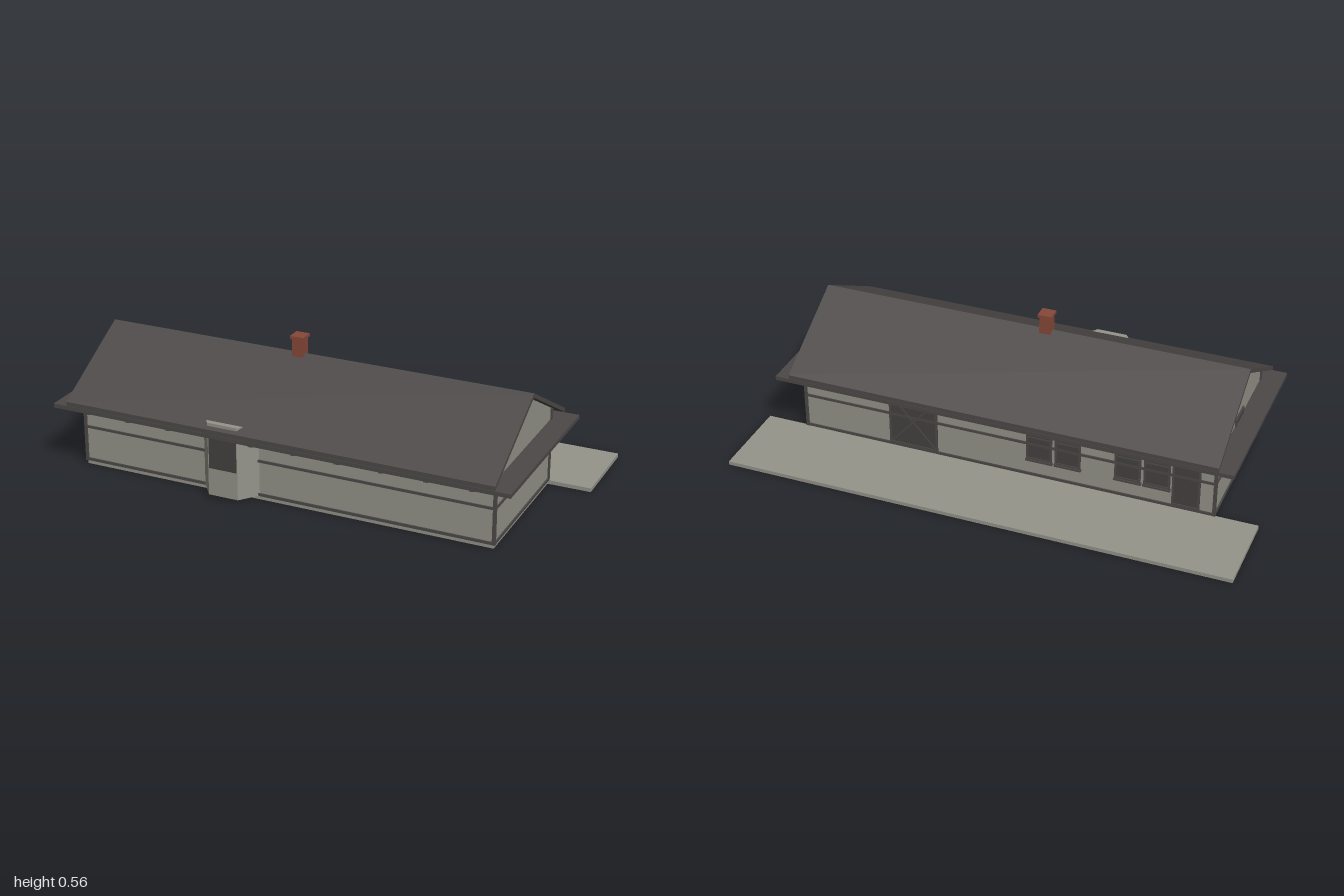
import * as THREE from 'three';

const mat = (name, color) => {
  const m = new THREE.MeshStandardMaterial({ color, flatShading: true });
  m.name = name;
  return m;
};

export function createModel() {
  const wall = mat('plaster grey', 0x94948a);
  const dark = mat('roof and timber', 0x4d4948);
  const glass = mat('window glass', 0x434240);
  const brick = mat('chimney brick', 0x864838);

  const model = new THREE.Group();
  model.name = 'stationHouse';

  const add = (parent, name, geo, material) => {
    const m = new THREE.Mesh(geo, material);
    m.name = name;
    parent.add(m);
    return m;
  };
  // Box from its limits
  const box = (parent, name, material, x0, x1, y0, y1, z0, z1) => {
    const m = add(parent, name, new THREE.BoxGeometry(x1 - x0, y1 - y0, z1 - z0), material);
    m.position.set((x0 + x1) / 2, (y0 + y1) / 2, (z0 + z1) / 2);
    return m;
  };
  // Prism along x from (z, y) points
  const prismX = (parent, name, material, pts, x0, x1) => {
    const shape = new THREE.Shape(pts.map(([z, y]) => new THREE.Vector2(z, y)));
    const geo = new THREE.ExtrudeGeometry(shape, { depth: x1 - x0, bevelEnabled: false });
    geo.rotateY(-Math.PI / 2);
    geo.translate(x1, 0, 0);
    return add(parent, name, geo, material);
  };

  const X = 0.83, ZF = 0.415, ZB = -0.16, ZM = 0.13, BASE = 0.015;

  // Ground slabs
  box(model, 'platform', wall, -1, 1, 0, BASE, -0.5, ZB);
  box(model, 'foundation', wall, -X, X, 0, BASE, ZB, ZF);

  // Gabled body
  prismX(model, 'walls', wall,
    [[ZB, BASE], [ZF, BASE], [ZF, 0.312], [ZM, 0.47], [ZB, 0.312]], -X, X);

  // Roof slabs
  prismX(model, 'roof', dark,
    [[0.5, 0.268], [0.5, 0.285], [ZM, 0.488], [-0.24, 0.285], [-0.24, 0.268], [ZM, 0.471]], -0.858, 0.858);

  // Flat canopy plate under the eaves and gables
  box(model, 'canopy', dark, -0.915, 0.915, 0.251, 0.267, -0.24, 0.5);

  // Timber posts and rails
  const T = 0.006;
  for (const sx of [-1, 1]) {
    for (const [z, s] of [[ZF, 1], [ZB, -1]]) {
      const xs = [sx * (X + T), sx * (X - 0.006)].sort((a, b) => a - b);
      const zs = [z + s * T, z - s * 0.006].sort((a, b) => a - b);
      box(model, 'cornerPost', dark, xs[0], xs[1], BASE, 0.312, zs[0], zs[1]);
    }
  }
  for (const [y0, y1] of [[BASE, 0.026], [0.152, 0.162]]) {
    for (const sx of [-1, 1]) {
      const c = sx * (X + T / 2 - 0.001);
      box(model, 'sideRail', dark, c - T / 2, c + T / 2, y0, y1, ZB, ZF);
    }
    box(model, 'frontRail', dark, -X, X, y0, y1, ZF - 0.001, ZF + 0.005);
    box(model, 'backRail', dark, -X, X, y0, y1, ZB - 0.005, ZB + 0.001);
  }

  // Triangular eave brackets
  for (let i = 0; i < 10; i++) {
    const x = -0.78 + i * 0.1715;
    if (i !== 3) {
      prismX(model, 'frontBracket', dark,
        [[ZF, 0.21], [0.485, 0.24], [0.485, 0.252], [ZF, 0.252]], x - 0.006, x + 0.006);
    }
    prismX(model, 'backBracket', dark,
      [[ZB, 0.21], [ZB, 0.252], [-0.225, 0.252], [-0.225, 0.24]], x - 0.006, x + 0.006);
  }

  // Angled front bay
  const bayShape = new THREE.Shape([
    new THREE.Vector2(-0.318, -ZF), new THREE.Vector2(-0.265, -0.485),
    new THREE.Vector2(-0.145, -0.485), new THREE.Vector2(-0.09, -ZF),
  ]);
  const bayGeo = new THREE.ExtrudeGeometry(bayShape, { depth: 0.29, bevelEnabled: false });
  bayGeo.rotateX(-Math.PI / 2);
  add(model, 'bay', bayGeo, wall).position.y = BASE;
  box(model, 'bayWindow', glass, -0.26, -0.148, 0.125, 0.275, 0.484, 0.488);

  // Openings, built facing +z and then turned onto their wall
  const place = (name, x, z, turn) => {
    const g = new THREE.Group();
    g.name = name;
    g.position.set(x, 0, z);
    g.rotation.y = turn;
    model.add(g);
    return g;
  };
  const frame = (g, x0, x1, y0, y1) => {
    const w = 0.008;
    box(g, 'glass', glass, x0, x1, y0, y1, 0, 0.004);
    for (const x of [x0, x1 - w]) box(g, 'jamb', dark, x, x + w, y0, y1, 0, 0.007);
    for (const y of [y0, y1 - w]) box(g, 'crossRail', dark, x0, x1, y, y + w, 0, 0.007);
  };
  const windowAt = (name, x, z, turn, centres) => {
    const g = place(name, x, z, turn);
    for (const c of centres) {
      frame(g, c - 0.051, c + 0.051, 0.09, 0.3);
      box(g, 'transom', dark, c - 0.051, c + 0.051, 0.185, 0.191, 0, 0.007);
      box(g, 'sill', dark, c - 0.054, c + 0.054, 0.082, 0.09, 0, 0.011);
    }
  };
  windowAt('waitingRoomWindow', -0.2, ZB, Math.PI, [-0.057, 0.057]);
  windowAt('officeWindow', -0.55, ZB, Math.PI, [-0.057, 0.057]);
  windowAt('sideWindow', -X, 0.115, -Math.PI / 2, [0]);

  const door = place('door', -0.72, ZB, Math.PI);
  frame(door, -0.054, 0.054, 0.026, 0.3);

  // Braced freight door
  const freight = place('freightDoor', 0.373, ZB, Math.PI);
  frame(freight, -0.1, 0.1, 0.026, 0.25);
  for (const s of [-1, 1]) {
    const brace = box(freight, 'brace', dark, -0.14, 0.14, -0.003, 0.003, 0, 0.006);
    brace.position.y = 0.138;
    brace.rotation.z = s * Math.atan2(0.21, 0.185);
  }

  // Chimney
  box(model, 'chimney', brick, -0.083, -0.038, 0.44, 0.546, 0.108, 0.152);
  box(model, 'chimneyCap', brick, -0.088, -0.033, 0.545, 0.557, 0.102, 0.158);

  return model;
}
